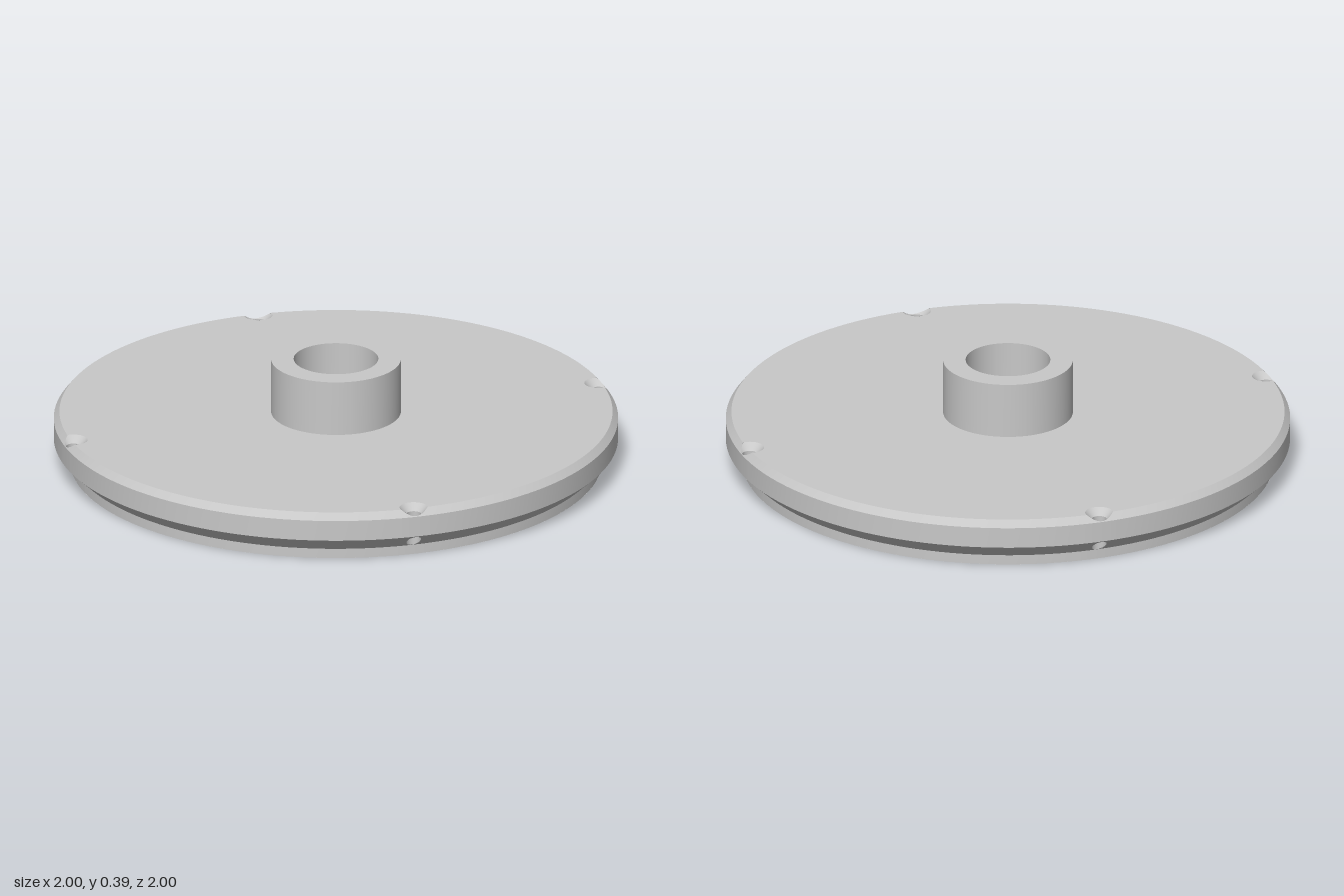
import * as THREE from 'three';

// Heights and radii of the stepped disc
const Y = { lip: 0.035, cone: 0.088, edge: 0.163, top: 0.188, hub: 0.388, floor: 0.1 };
const R = { base: 0.943, rim: 1, top: 0.98, hub: 0.23, bore: 0.15, slot: 0.04 };
// Rim screw holes: distance from the centre, drill and countersink radii
const H = 0.97, DRILL = 0.026, SINK = 0.05;
const FEED = { x: 0.64, r: 0.059, top: 0.14 };

const polar = (r, t, y) => new THREE.Vector3(r * Math.cos(t), y, r * Math.sin(t));
const coneY = r => Y.lip + (r - R.base) / (R.rim - R.base) * (Y.cone - Y.lip);
const sinkR = y => DRILL + (y - Y.edge) / (Y.top - Y.edge) * (SINK - DRILL);
const chamferR = y => R.rim - (y - Y.edge) / (Y.top - Y.edge) * (R.rim - R.top);

// Greatest height, up to the top face, for which the test still holds
function highest(test) {
  if (test(Y.top)) return Y.top;
  let lo = Y.edge, hi = Y.top;
  for (let i = 0; i < 24; i++) {
    const mid = (lo + hi) / 2;
    if (test(mid)) lo = mid; else hi = mid;
  }
  return lo;
}

// Ribbon between two rows of points
function strip(a, b) {
  const pos = [], index = [];
  a.forEach((p, i) => pos.push(...p.toArray(), ...b[i].toArray()));
  for (let i = 0; i < a.length - 1; i++) {
    const k = i * 2;
    index.push(k, k + 1, k + 2, k + 2, k + 1, k + 3);
  }
  const g = new THREE.BufferGeometry();
  g.setAttribute('position', new THREE.Float32BufferAttribute(pos, 3));
  g.setIndex(index);
  g.computeVertexNormals();
  return g;
}

// Angles around the disc, closer together at the four rim holes
function rimAngles() {
  const offsets = new Set();
  for (const r of [DRILL, SINK]) {
    for (let i = -10; i <= 10; i++) {
      offsets.add((Math.asin(r / H) * Math.sin(i * Math.PI / 20)).toFixed(6));
    }
  }
  const near = Math.asin(SINK / H);
  for (let i = 1; i < 32; i++) offsets.add((near + (Math.PI / 2 - 2 * near) * i / 32).toFixed(6));
  const sorted = [...offsets].map(Number).sort((p, q) => p - q);
  const all = [];
  for (let k = 0; k < 4; k++) sorted.forEach(o => all.push({ t: o + k * Math.PI / 2, o }));
  all.push({ t: sorted[0] + 2 * Math.PI, o: sorted[0] });
  return all;
}

export function createModel() {
  const group = new THREE.Group();
  const grey = new THREE.MeshStandardMaterial({ color: 0xc8c8c8, side: THREE.DoubleSide });
  grey.name = 'grey metal';
  const add = (name, geometry, parent = group) => {
    const m = new THREE.Mesh(geometry, grey);
    m.name = name;
    parent.add(m);
    return m;
  };

  const angles = rimAngles();
  const row = (r, y) => angles.map(a => polar(r, a.t, y));
  // Near and far crossing of each angle with a circle around a rim hole;
  // beyond the circle both stay at its tangent point
  const cross = (o, r, sign) => {
    const c = Math.min(Math.abs(o), Math.asin(r / H));
    return H * Math.cos(c) + sign * Math.sqrt(Math.max(0, r * r - (H * Math.sin(c)) ** 2));
  };
  const coneCut = sign => angles.map(({ t, o }) => {
    const r = cross(o, DRILL, sign);
    return polar(r, t, coneY(r));
  });

  // Outer walls, with the cone opened where the drilled holes come out
  add('baseLip', strip(row(R.base, 0), row(R.base, Y.lip)));
  add('lowerCone', strip(row(R.base, Y.lip), coneCut(-1)));
  add('upperCone', strip(coneCut(1), row(R.rim, Y.cone)));
  add('rimWall', strip(row(R.rim, Y.cone), row(R.rim, Y.edge)));

  // Chamfer and top face, notched by the countersinks
  const chamferTop = angles.map(({ t, o }) => {
    const y = highest(h => {
      const r = chamferR(h);
      return Math.hypot(r * Math.cos(o) - H, r * Math.sin(o)) >= sinkR(h);
    });
    return polar(chamferR(y), t, y);
  });
  const sinkAngle = Math.asin(SINK / H) - 1e-5;
  const topEdge = angles.map(({ t, o }) =>
    polar(Math.abs(o) < sinkAngle ? cross(o, SINK, -1) : R.top, t, Y.top));
  add('rimChamfer', strip(row(R.rim, Y.edge), chamferTop));
  add('topFace', strip(topEdge, row(R.hub, Y.top)));

  // Walls of the four countersunk rim holes
  const turns = Array.from({ length: 49 }, (_, i) => i * Math.PI / 24);
  const around = (r, t, y) => new THREE.Vector3(H + r * Math.cos(t), y, r * Math.sin(t));
  const drillTop = turns.map(t => around(DRILL, t, Y.edge));
  const drillEnd = turns.map(t => {
    const p = around(DRILL, t, 0);
    return p.setY(coneY(Math.hypot(p.x, p.z)));
  });
  const sinkTop = turns.map(t => {
    const y = highest(h => {
      const p = around(sinkR(h), t, h);
      return Math.hypot(p.x, p.z) <= chamferR(h) + 1e-9;
    });
    return around(sinkR(y), t, y);
  });
  const drillWall = strip(drillTop, drillEnd), sinkWall = strip(sinkTop, drillTop);
  for (let k = 0; k < 4; k++) {
    const hole = new THREE.Group();
    hole.name = 'rimHole';
    hole.rotation.y = k * Math.PI / 2;
    add('drilledWall', drillWall, hole);
    add('countersink', sinkWall, hole);
    group.add(hole);
  }

  // Underside with the feed hole
  const under = new THREE.Shape().absarc(0, 0, R.base, 0, Math.PI * 2, false);
  under.holes.push(new THREE.Path().absarc(FEED.x, 0, FEED.r, 0, Math.PI * 2, true));
  add('underside', new THREE.ShapeGeometry(under, 160).rotateX(Math.PI / 2));
  const feedRing = y => turns.map(t => polar(FEED.r, t, y).setX(FEED.x + FEED.r * Math.cos(t)));
  add('feedHoleWall', strip(feedRing(FEED.top), feedRing(0)));
  add('feedHoleEnd', new THREE.CircleGeometry(FEED.r, 48).rotateX(Math.PI / 2)
    .translate(FEED.x, FEED.top, 0));

  // Hub with its bore, opened at the bottom by the cross channel
  add('hubWall', strip(row(R.hub, Y.top), row(R.hub, Y.hub)));
  add('hubTop', strip(row(R.hub, Y.hub), row(R.bore, Y.hub)));
  const boreEnd = angles.map(({ t }) => {
    const z = R.bore * Math.sin(t);
    const rise = Math.cos(t) > 0 ? Math.sqrt(Math.max(0, R.slot ** 2 - z * z)) : 0;
    return polar(R.bore, t, Y.floor + rise);
  });
  add('boreWall', strip(row(R.bore, Y.hub), boreEnd));

  // Bore floor, cut by a round-ended slot
  const a = Math.asin(R.slot / R.bore);
  const floor = new THREE.Shape();
  floor.absarc(0, 0, R.bore, a, Math.PI * 2 - a, false);
  floor.lineTo(0, -R.slot);
  floor.absarc(0, 0, R.slot, -Math.PI / 2, -Math.PI * 1.5, true);
  add('boreFloor', new THREE.ShapeGeometry(floor, 64).rotateX(-Math.PI / 2)
    .translate(0, Y.floor, 0));

  // Channel: ball end and half-round trough in the bore, then a full tunnel
  const ring = (x, from, to) => Array.from({ length: 33 }, (_, i) => {
    const t = from + (to - from) * i / 32;
    return new THREE.Vector3(x, Y.floor + R.slot * Math.sin(t), R.slot * Math.cos(t));
  });
  const boreX = R.bore * Math.cos(a), endX = FEED.x - FEED.r;
  add('channelTrough', strip(ring(boreX, Math.PI, Math.PI * 2), ring(0, Math.PI, Math.PI * 2)));
  add('channelTunnel', strip(ring(endX, 0, Math.PI * 2), ring(boreX, 0, Math.PI * 2)));
  const bowl = Array.from({ length: 13 }, (_, i) => {
    const t = i * Math.PI / 24;
    return new THREE.Vector2(R.slot * Math.cos(t), -R.slot * Math.sin(t));
  });
  add('channelBallEnd', new THREE.LatheGeometry(bowl, 24, Math.PI, Math.PI)
    .translate(0, Y.floor, 0));

  return group;
}
